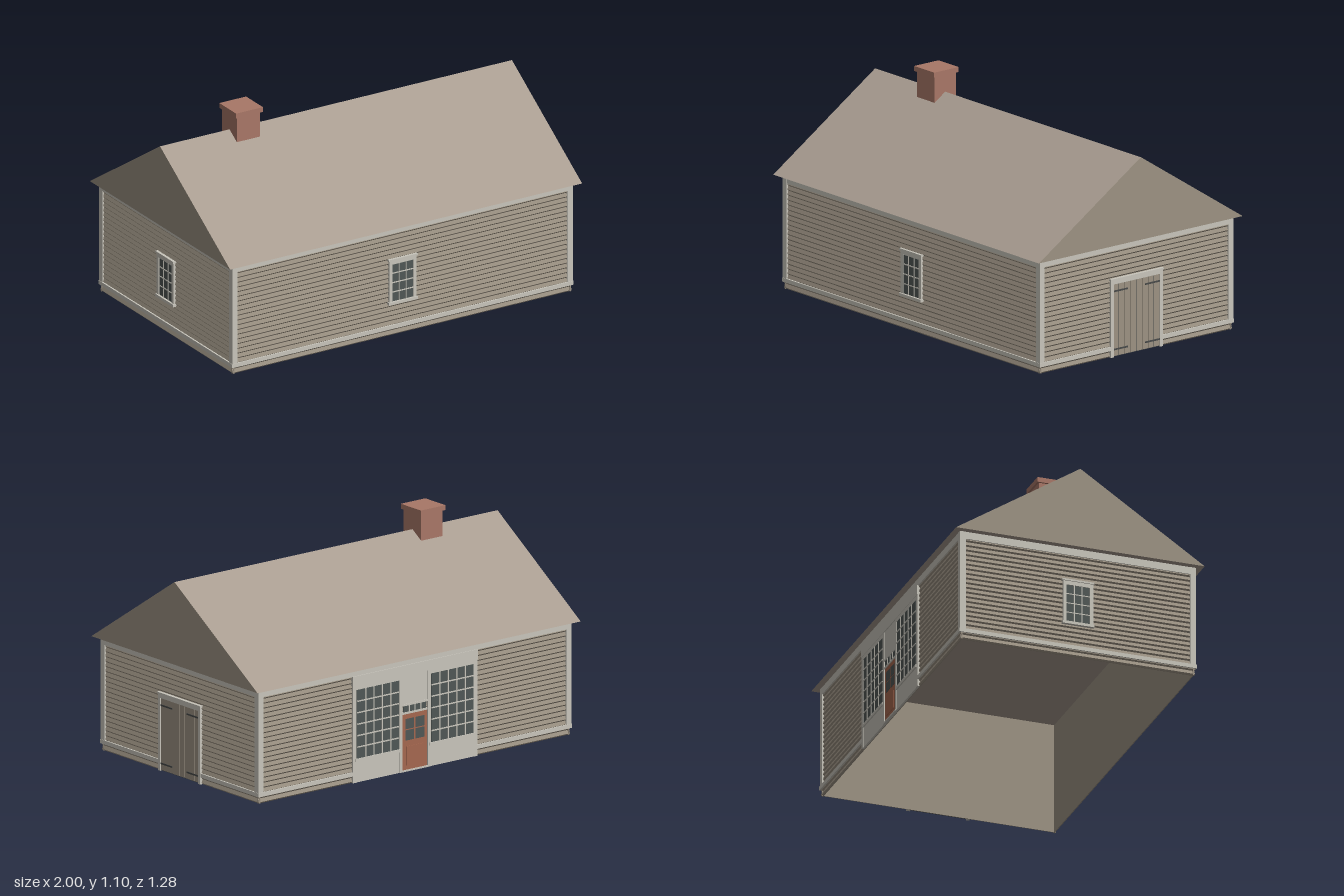
import * as THREE from 'three';

const mat = (name, color) => Object.assign(new THREE.MeshStandardMaterial({ color }), { name });

export function createModel() {
  const roofMat = mat('roof shingle', 0xa89c90);
  const wallMat = mat('weathered siding', 0x9c9283);
  const trimMat = mat('pale trim', 0xc8c5bb);
  const brickMat = mat('brick', 0xa87767);
  const glassMat = mat('dark glass', 0x505755);
  const ironMat = mat('dark iron', 0x484a49);
  const doorMat = mat('painted door', 0xa5674f);

  const model = new THREE.Group();
  model.name = 'clapboardShop';

  const EAVE = 0.57, HX = 0.963, HZ = 0.603;

  // Box given by its limits, added to a parent
  function box(parent, name, m, x0, x1, y0, y1, z0, z1) {
    const mesh = new THREE.Mesh(new THREE.BoxGeometry(x1 - x0, y1 - y0, z1 - z0), m);
    mesh.position.set((x0 + x1) / 2, (y0 + y1) / 2, (z0 + z1) / 2);
    mesh.name = name;
    parent.add(mesh);
    return mesh;
  }

  // Lapped boards: a saw-tooth profile swept along the wall, outermost at z = 0
  function siding(parent, length) {
    const n = 23, p = EAVE / n, back = -0.01;
    const s = new THREE.Shape();
    s.moveTo(back, 0);
    for (let i = 0; i < n; i++) {
      s.lineTo(-0.006, i * p);
      s.lineTo(0, i * p + 0.007);
    }
    s.lineTo(-0.006, EAVE);
    s.lineTo(back, EAVE);
    const g = new THREE.ExtrudeGeometry(s, { depth: length, bevelEnabled: false });
    g.translate(0, 0, -length / 2);
    g.rotateY(-Math.PI / 2);
    const mesh = new THREE.Mesh(g, wallMat);
    mesh.name = 'siding';
    parent.add(mesh);
  }

  // One wall in its own frame (faces +z), with trim and an optional gap at the foot
  function wall(name, angle, dist, half, gap) {
    const g = new THREE.Group();
    g.name = name;
    g.rotation.y = angle;
    g.position.set(Math.sin(angle) * dist, 0, Math.cos(angle) * dist);
    siding(g, half * 2);
    for (const s of [-1, 1]) {
      const a = s * (half - 0.025), b = s * (half + 0.005);
      box(g, 'cornerBoard', trimMat, Math.min(a, b), Math.max(a, b), 0.04, EAVE, -0.006, 0.005);
      const c = s * gap, d = s * (half + 0.007);
      box(g, 'waterTable', trimMat, Math.min(c, d), Math.max(c, d), 0.035, 0.055, -0.006, 0.007);
    }
    box(g, 'frieze', trimMat, -half, half, 0.533, EAVE, -0.006, 0.004);
    model.add(g);
    return g;
  }

  // Glass pane with a grid of glazing bars
  function glazing(g, x0, x1, y0, y1, z, cols, rows, bar) {
    box(g, 'glass', glassMat, x0, x1, y0, y1, z - 0.004, z);
    for (let i = 1; i < cols; i++) {
      const x = x0 + (x1 - x0) * i / cols;
      box(g, 'glazingBar', trimMat, x - bar / 2, x + bar / 2, y0, y1, z, z + 0.003);
    }
    for (let j = 1; j < rows; j++) {
      const y = y0 + (y1 - y0) * j / rows;
      box(g, 'glazingBar', trimMat, x0, x1, y - bar / 2, y + bar / 2, z, z + 0.003);
    }
  }

  // Small framed window with sill and cap
  function smallWindow(parent) {
    const g = new THREE.Group();
    g.name = 'window';
    parent.add(g);
    glazing(g, -0.06, 0.06, 0.178, 0.375, 0.003, 3, 4, 0.005);
    for (const x of [-0.077, 0.06]) box(g, 'casing', trimMat, x, x + 0.017, 0.175, 0.39, -0.006, 0.008);
    box(g, 'headCasing', trimMat, -0.077, 0.077, 0.373, 0.395, -0.006, 0.008);
    box(g, 'cap', trimMat, -0.082, 0.082, 0.393, 0.402, -0.006, 0.013);
    box(g, 'sill', trimMat, -0.082, 0.082, 0.164, 0.178, -0.006, 0.014);
  }

  const front = wall('frontWall', 0, HZ, HX, 0);
  const left = wall('leftWall', -Math.PI / 2, HX, HZ, 0);
  const right = wall('rightWall', Math.PI / 2, HX, HZ, 0.15);
  const back = wall('backWall', Math.PI, HZ, HX, 0.38);

  smallWindow(front);
  smallWindow(left);

  // Plank double door with strap hinges
  const barn = new THREE.Group();
  barn.name = 'plankDoor';
  right.add(barn);
  box(barn, 'doorBacking', ironMat, -0.145, 0.145, 0.002, 0.368, -0.006, 0.001);
  const seams = [-0.145, -0.11, -0.075, -0.037, 0, 0.037, 0.075, 0.11, 0.145];
  for (let i = 0; i < seams.length - 1; i++) {
    box(barn, 'plank', wallMat, seams[i] + 0.0015, seams[i + 1] - 0.0015, 0.005, 0.366, 0, 0.004);
  }
  for (const s of [-1, 1]) {
    for (const y of [0.038, 0.33]) {
      const a = s * 0.145, b = s * 0.055;
      box(barn, 'strapHinge', ironMat, Math.min(a, b), Math.max(a, b), y - 0.004, y + 0.004, 0.004, 0.007);
    }
    box(barn, 'casing', trimMat, s * 0.154 - 0.009, s * 0.154 + 0.009, 0, 0.388, -0.006, 0.009);
  }
  box(barn, 'headCasing', trimMat, -0.163, 0.163, 0.366, 0.388, -0.006, 0.009);
  box(barn, 'cap', trimMat, -0.166, 0.166, 0.386, 0.394, -0.006, 0.012);

  // Shop front: panelled surround, two large windows, door with transom
  const shop = new THREE.Group();
  shop.name = 'shopFront';
  back.add(shop);
  for (const s of [-1, 1]) {
    const span = (name, a, b, y0, y1, z) =>
      box(shop, name, trimMat, Math.min(s * a, s * b), Math.max(s * a, s * b), y0, y1, -0.006, z);
    span('sidePanel', 0.08, 0.385, 0, 0.5, 0.004);
    span('outerPost', 0.365, 0.385, 0, 0.5, 0.007);
    span('innerPost', 0.078, 0.095, 0, 0.5, 0.007);
    span('windowHead', 0.09, 0.37, 0.465, 0.485, 0.007);
    span('sill', 0.088, 0.372, 0.105, 0.12, 0.011);
    const lo = s > 0 ? 0.1 : -0.36;
    glazing(shop, lo, lo + 0.26, 0.12, 0.465, 0.006, 5, 6, 0.006);
  }
  box(shop, 'cornice', trimMat, -0.388, 0.388, 0.485, 0.535, -0.006, 0.009);
  box(shop, 'panelOverDoor', trimMat, -0.08, 0.08, 0.335, 0.49, -0.006, 0.004);
  box(shop, 'transomRail', trimMat, -0.08, 0.08, 0.288, 0.298, -0.006, 0.006);
  box(shop, 'transomHead', trimMat, -0.08, 0.08, 0.33, 0.34, -0.006, 0.007);
  glazing(shop, -0.07, 0.07, 0.298, 0.33, 0.003, 4, 1, 0.006);
  box(shop, 'door', doorMat, -0.078, 0.078, 0.005, 0.288, -0.006, 0.002);
  box(shop, 'threshold', trimMat, -0.08, 0.08, 0, 0.008, -0.006, 0.008);
  // door lights and a raised lower panel
  for (const x of [-0.058, 0.004]) {
    for (const y of [0.155, 0.212]) box(shop, 'doorGlass', glassMat, x, x + 0.054, y, y + 0.051, 0, 0.004);
  }
  box(shop, 'doorPanel', doorMat, -0.05, 0.05, 0.03, 0.125, 0, 0.005);

  // Gabled roof: closed prism with siding-coloured ends
  const tri = new THREE.Shape([
    new THREE.Vector2(-0.64, EAVE), new THREE.Vector2(0.64, EAVE), new THREE.Vector2(0, 0.985),
  ]);
  const roofGeo = new THREE.ExtrudeGeometry(tri, { depth: 2, bevelEnabled: false });
  roofGeo.translate(0, 0, -1);
  roofGeo.rotateY(Math.PI / 2);
  const roof = new THREE.Mesh(roofGeo, [wallMat, roofMat]);
  roof.name = 'roof';
  model.add(roof);

  // Chimney on the ridge
  const chimney = new THREE.Group();
  chimney.name = 'chimney';
  model.add(chimney);
  box(chimney, 'stack', brickMat, -0.605, -0.473, 0.9, 1.075, -0.067, 0.067);
  box(chimney, 'chimneyCap', brickMat, -0.615, -0.463, 1.072, 1.097, -0.077, 0.077);

  return model;
}
